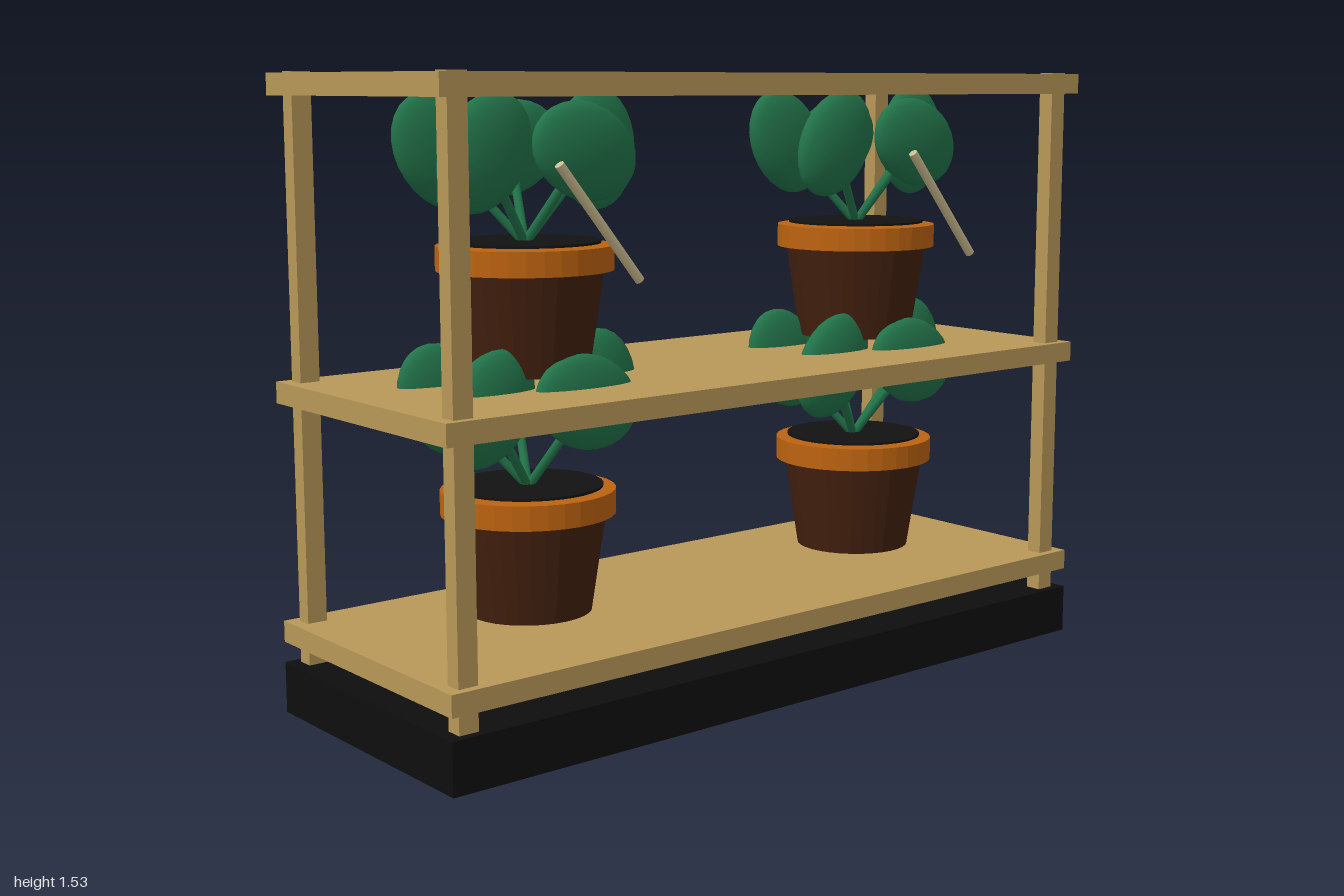
import * as THREE from 'three';

const material = (name, color, extra = {}) => {
  const m = new THREE.MeshStandardMaterial({ color, ...extra });
  m.name = name;
  return m;
};

export function createModel() {
  const wood = material('wood', 0xb89858);
  const black = material('black base', 0x0e0e0e);
  const soilDark = material('soil', 0x121212);
  const clay = material('dark clay', 0x43200f, { flatShading: true });
  const rimOrange = material('orange rim', 0xbd6310, { flatShading: true });
  const green = material('leaf green', 0x22744a);
  const pale = material('pale stick', 0xcabb8e);

  const root = new THREE.Group();
  root.name = 'plantShelf';

  const add = (parent, name, geometry, mat, x, y, z) => {
    const mesh = new THREE.Mesh(geometry, mat);
    mesh.name = name;
    mesh.position.set(x, y, z);
    parent.add(mesh);
    return mesh;
  };

  // Plinth, three shelf boards and four corner posts
  add(root, 'base', new THREE.BoxGeometry(2, 0.125, 0.744), black, 0, 0.0625, 0);
  const board = new THREE.BoxGeometry(2, 0.052, 0.744);
  for (const y of [0.202, 0.785, 1.506]) add(root, 'shelf', board, wood, 0, y, 0);
  const post = new THREE.BoxGeometry(0.05, 1.411, 0.042);
  for (const x of [-0.944, 0.944])
    for (const z of [-0.33, 0.33]) add(root, 'post', post, wood, x, 0.8295, z);

  // Shared plant geometry
  const potGeo = new THREE.CylinderGeometry(0.19, 0.15, 0.26, 32);
  const rimGeo = new THREE.CylinderGeometry(0.21, 0.21, 0.059, 32);
  const soilGeo = new THREE.CylinderGeometry(0.18, 0.18, 0.006, 32);
  const leafGeo = new THREE.SphereGeometry(1, 20, 14).scale(0.112, 0.147, 0.043);

  // One potted plant, standing on its own y = 0
  function makePlant() {
    const plant = new THREE.Group();
    plant.name = 'pottedPlant';
    add(plant, 'pot', potGeo, clay, 0, 0.13, 0);
    add(plant, 'potRim', rimGeo, rimOrange, 0, 0.268, 0);
    add(plant, 'soil', soilGeo, soilDark, 0, 0.305, 0);
    const foot = new THREE.Vector3(0, 0.3, 0);
    for (let i = 0; i < 5; i++) {
      const a = (i * Math.PI * 2) / 5;
      const tip = new THREE.Vector3(0.21 * Math.cos(a), 0.517, 0.16 * Math.sin(a));
      // Each leaf rolls round in its own upright plane
      add(plant, 'leaf', leafGeo, green, tip.x, tip.y, tip.z).rotation.z = a;
      const path = new THREE.LineCurve3(foot, tip);
      add(plant, 'stem', new THREE.TubeGeometry(path, 1, 0.011, 8), green, 0, 0, 0);
    }
    return plant;
  }

  // Two plants on each lower shelf, with a leaning stick before the upper ones
  const stick = new THREE.CylinderGeometry(0.0115, 0.0115, 0.34, 8);
  for (const x of [-0.54, 0.54]) {
    for (const y of [0.256, 0.837]) {
      const plant = makePlant();
      plant.position.set(x, y, 0);
      root.add(plant);
    }
    add(root, 'stick', stick, pale, x - 0.048, 1.205, 0.36).rotation.z = 0.69;
  }
  return root;
}
